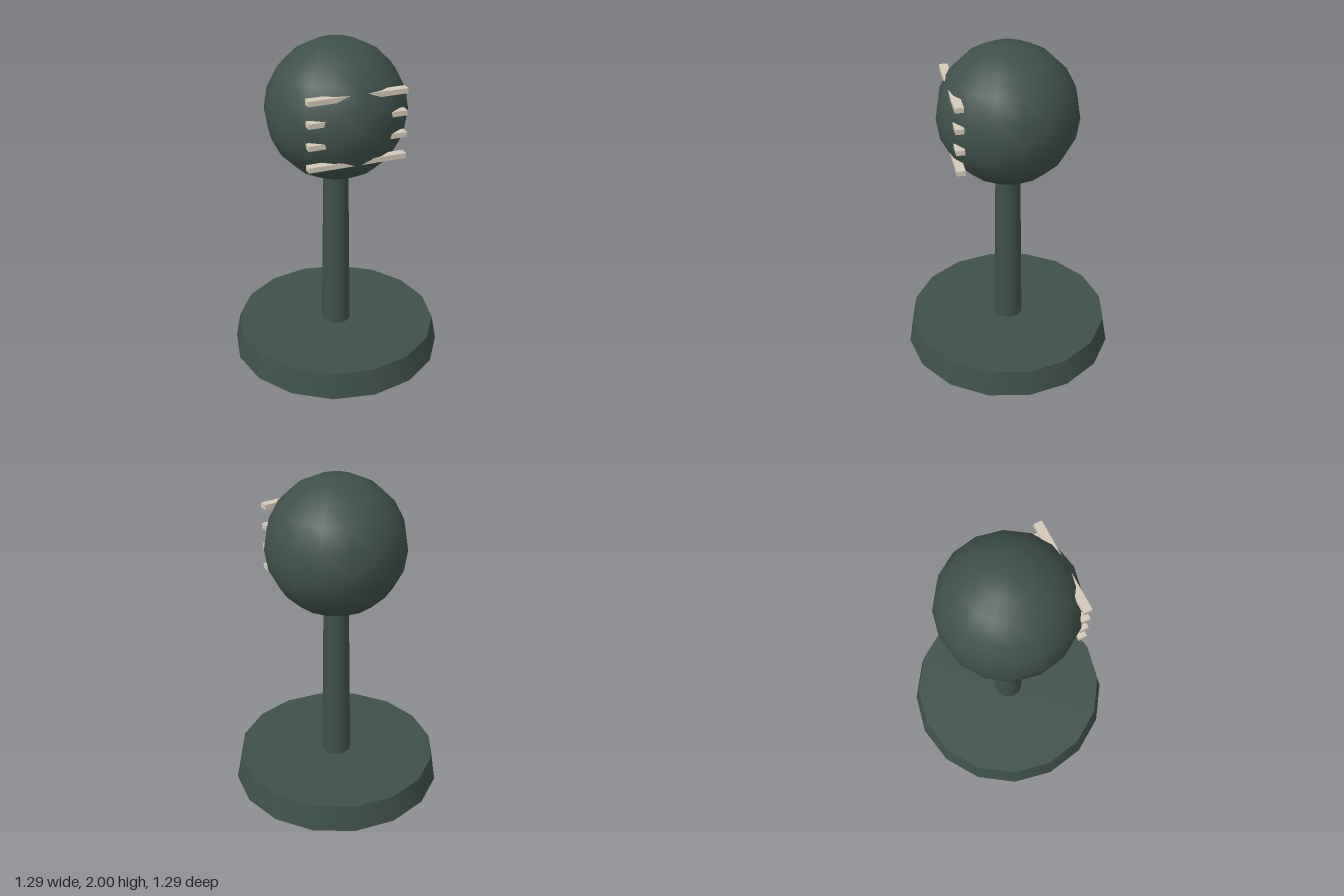
import * as THREE from 'three';

export function createModel() {
  const model = new THREE.Group();
  const darkGreen = new THREE.MeshStandardMaterial({ name: 'darkGreen', color: 0x3f504a });
  const cream = new THREE.MeshStandardMaterial({ name: 'cream', color: 0xd4c9b8 });

  function add(name, geometry, material, y, z = 0) {
    const mesh = new THREE.Mesh(geometry, material);
    mesh.name = name;
    mesh.position.set(0, y, z);
    model.add(mesh);
  }

  // Wide tapered foot, slim pole and round head
  add('base', new THREE.CylinderGeometry(0.615, 0.645, 0.16, 16), darkGreen, 0.08);
  add('pole', new THREE.CylinderGeometry(0.075, 0.09, 1.08, 12), darkGreen, 0.7);
  add('head', new THREE.SphereGeometry(0.415, 16, 10), darkGreen, 1.585);

  // Horizontal bars passing through the front of the head
  for (let i = 0; i < 4; i++) {
    add(`grilleBar${i + 1}`, new THREE.BoxGeometry(0.58, 0.03, 0.05), cream, 1.385 + i * 0.129, 0.322);
  }

  return model;
}
